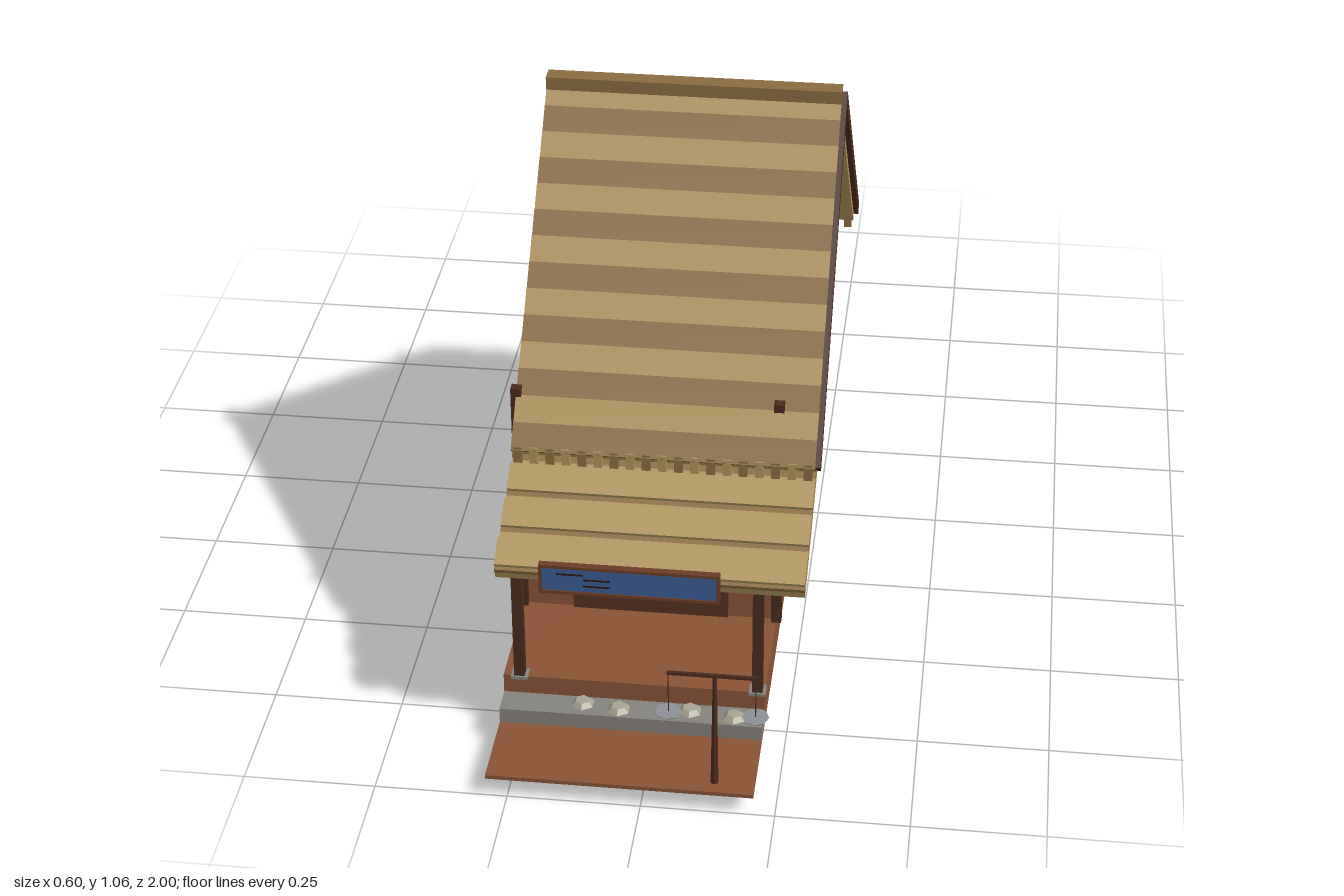
import * as THREE from 'three';

const mat = (color, extra = {}) => new THREE.MeshStandardMaterial({ color, flatShading: true, ...extra });
const M = {
  wall: mat(0x8a5235), dark: mat(0x4a2a1c), door: mat(0x57301f), frame: mat(0x6b3b25),
  strawLight: mat(0xb0925a), strawDark: mat(0x8a6b3e), glass: mat(0x303030), line: mat(0x24160f),
  blue: mat(0x3a5c96), stone: mat(0x85827c), pale: mat(0xa8a392), metal: mat(0x8c9094),
  leaf: mat(0x3c6b34),
};

function add(parent, name, geometry, material, x = 0, y = 0, z = 0) {
  const mesh = new THREE.Mesh(geometry, material);
  mesh.name = name;
  mesh.position.set(x, y, z);
  parent.add(mesh);
  return mesh;
}

// Box given by its low and high corner
function span(parent, name, material, [x0, y0, z0], [x1, y1, z1]) {
  return add(parent, name, new THREE.BoxGeometry(x1 - x0, y1 - y0, z1 - z0), material,
    (x0 + x1) / 2, (y0 + y1) / 2, (z0 + z1) / 2);
}

function group(parent, name, x = 0, y = 0, z = 0) {
  const g = new THREE.Group();
  g.name = name;
  g.position.set(x, y, z);
  parent.add(g);
  return g;
}

const ROOF_W = 0.575, ROOF_X = -0.0025, RIDGE_Z = 0.11;

// Sloping slab with overlapping straw courses; local +z runs down the slope
function thatch(parent, name, length, courses, thick) {
  const slope = group(parent, name);
  span(slope, 'roofSlab', M.strawLight, [-ROOF_W / 2, -thick, 0], [ROOF_W / 2, -0.005, length]);
  const step = length / courses;
  for (let i = 0; i < courses; i++) {
    const course = add(slope, 'strawCourse', new THREE.BoxGeometry(ROOF_W, 0.01, step + 0.002),
      i % 2 ? M.strawDark : M.strawLight, 0, -0.004, (i + 0.5) * step);
    course.rotation.x = i % 2 ? 0.04 : 0.07;
  }
  return slope;
}

// One half of the main roof; side is 1 for the front and -1 for the back
function roofHalf(parent, side) {
  const half = group(parent, side > 0 ? 'frontRoof' : 'backRoof', ROOF_X, 1.045, RIDGE_Z);
  if (side < 0) half.rotation.y = Math.PI;
  const slope = thatch(half, 'mainSlope', 0.735, 14, 0.032);
  slope.rotation.x = Math.PI / 4;
  // Dark rake board on the left gable only
  span(slope, 'rakeBoard', M.dark, side > 0 ? [ROOF_W / 2, -0.017, 0] : [-ROOF_W / 2 - 0.01, -0.017, 0],
    side > 0 ? [ROOF_W / 2 + 0.01, 0.008, 0.735] : [-ROOF_W / 2, 0.008, 0.735]);
  // Straw fringe along the eave
  for (let i = 0; i < 19; i++) {
    const h = 0.05 + 0.008 * ((i * 2) % 3);
    add(half, 'strawTassel', new THREE.BoxGeometry(0.016, h, 0.012), i % 2 ? M.strawLight : M.strawDark,
      -0.275 + i * 0.0305, -0.515 - h / 2, 0.513);
  }
}

function sideWindow(parent, z) {
  const w = group(parent, 'sideWindow', 0.21, 0.29, z);
  span(w, 'windowGlass', M.glass, [-0.005, -0.07, -0.058], [0.005, 0.08, 0.058]);
  for (const s of [-1, 1]) {
    add(w, 'windowJamb', new THREE.BoxGeometry(0.018, 0.155, 0.008), M.dark, 0.004, 0.005, s * 0.06);
    for (const y of [0.005, -0.035])
      add(w, 'wallCrack', new THREE.BoxGeometry(0.006, 0.006, 0.045), M.line, 0, y, s * 0.097);
  }
  add(w, 'windowHead', new THREE.BoxGeometry(0.018, 0.008, 0.128), M.dark, 0.004, 0.081, 0);
  add(w, 'windowSill', new THREE.BoxGeometry(0.026, 0.012, 0.148), M.frame, 0.006, -0.074, 0);
  add(w, 'windowMullion', new THREE.BoxGeometry(0.014, 0.11, 0.006), M.line, 0.003, 0, 0);
}

export function createModel() {
  const model = new THREE.Group();
  model.name = 'cottage';

  // Ground and house body
  span(model, 'ground', M.wall, [-0.29, 0.037, -1], [0.21, 0.045, 1]);
  span(model, 'foundation', M.wall, [-0.29, 0.045, -0.325], [0.21, 0.115, 0.785]);
  span(model, 'houseWalls', M.wall, [-0.29, 0.115, -0.325], [0.21, 0.555, 0.548]);
  const gable = new THREE.Shape([[-0.438, 0], [0.438, 0], [0, 0.445]].map(p => new THREE.Vector2(...p)));
  add(model, 'gable', new THREE.ShapeGeometry(gable), M.wall, 0.21, 0.555, RIDGE_Z).rotation.y = Math.PI / 2;

  // Corner posts
  for (const x of [-0.29, 0.21]) for (const z of [-0.335, 0.55])
    span(model, 'cornerPost', M.dark, [x - 0.01, 0.115, z - 0.01], [x + 0.01, 0.615, z + 0.01]);
  for (const x of [-0.29, 0.21])
    span(model, 'cornerPostFoot', M.dark, [x - 0.01, 0.045, -0.345], [x + 0.01, 0.115, -0.325]);

  // Plank seams on the left side and the back
  for (let i = 0; i < 10; i++) {
    const y = 0.14 + i * 0.043, len = 0.2 + 0.08 * ((i * 3) % 4), z = -0.05 + 0.07 * ((i * 5) % 4);
    if (y < 0.2 || y > 0.38)
      add(model, 'sideSeam', new THREE.BoxGeometry(0.003, 0.003, len), M.line, 0.21, y, z);
    add(model, 'backSeam', new THREE.BoxGeometry(0.16, 0.003, 0.003), M.line, i % 2 ? 0.12 : -0.19, y, -0.325);
  }
  sideWindow(model, 0.313);
  sideWindow(model, -0.04);

  // Front entrance panel and wall cracks
  span(model, 'frontDoor', M.door, [-0.19, 0.115, 0.54], [0.115, 0.43, 0.554]);
  for (const x of [-0.215, 0.15])
    add(model, 'frontCrack', new THREE.BoxGeometry(0.025, 0.004, 0.004), M.line, x, 0.28, 0.549);

  // Back door
  const back = group(model, 'backDoor', -0.035, 0.22, -0.328);
  add(back, 'doorPanel', new THREE.BoxGeometry(0.125, 0.235, 0.008), M.wall);
  for (const x of [-0.063, 0, 0.063])
    add(back, 'doorStile', new THREE.BoxGeometry(x ? 0.01 : 0.005, 0.24, 0.014), x ? M.frame : M.dark, x, 0, 0);
  for (const y of [-0.118, -0.045, 0.05, 0.118])
    add(back, 'doorRail', new THREE.BoxGeometry(0.13, 0.007, 0.013), M.frame, 0, y, 0);

  // Main roof
  roofHalf(model, 1);
  roofHalf(model, -1);
  add(model, 'ridgeCap', new THREE.BoxGeometry(ROOF_W, 0.026, 0.036), M.strawDark, ROOF_X, 1.047, RIDGE_Z);

  // Porch roof with raised bundles, and its posts
  const porch = group(model, 'porchRoof', ROOF_X, 0.525, 0.545);
  const slope = thatch(porch, 'porchSlope', 0.318, 8, 0.028);
  slope.rotation.x = 0.42;
  for (const z of [0.12, 0.2, 0.285])
    add(slope, 'strawBundle', new THREE.BoxGeometry(ROOF_W, 0.014, 0.055), M.strawLight, 0, 0.006, z).rotation.x = 0.12;
  for (const x of [-0.258, 0.196]) {
    span(model, 'porchPost', M.dark, [x - 0.01, 0.115, 0.773], [x + 0.01, 0.405, 0.793]);
    span(model, 'postFoot', M.stone, [x - 0.016, 0.115, 0.767], [x + 0.016, 0.121, 0.797]);
  }

  // Hanging board on the porch edge
  const board = group(model, 'porchBoard', -0.0375, 0.39, 0.842);
  add(board, 'boardPanel', new THREE.BoxGeometry(0.325, 0.052, 0.008), M.blue);
  for (const s of [-1, 1]) {
    add(board, 'boardRail', new THREE.BoxGeometry(0.335, 0.006, 0.014), M.frame, 0, s * 0.028, 0);
    add(board, 'boardEnd', new THREE.BoxGeometry(0.006, 0.062, 0.014), M.frame, s * 0.1645, 0, 0);
  }
  for (const [x, y] of [[-0.11, 0.012], [-0.06, 0.002], [-0.06, -0.012]])
    add(board, 'boardScratch', new THREE.BoxGeometry(0.05, 0.003, 0.003), M.line, x, y, 0.004);

  // Stone step with loose flat stones
  span(model, 'stoneStep', M.stone, [-0.29, 0.045, 0.785], [0.21, 0.076, 0.84]);
  [-0.135, -0.065, 0.07, 0.155].forEach((x, i) => {
    add(model, 'stepStone', new THREE.CylinderGeometry(0.014, 0.024, 0.01, 6), M.pale, x, 0.08, 0.805 + 0.01 * (i % 2));
  });

  // Balance on a stand
  const scale = group(model, 'balance', 0.13, 0, 0.97);
  add(scale, 'balancePole', new THREE.CylinderGeometry(0.004, 0.008, 0.245, 6), M.dark, 0.005, 0.167, 0);
  add(scale, 'balanceBeam', new THREE.BoxGeometry(0.165, 0.006, 0.006), M.dark, 0, 0.289, 0);
  for (const s of [-1, 1]) {
    add(scale, 'balancePan', new THREE.CylinderGeometry(0.025, 0.02, 0.005, 8), M.metal, s * 0.08, 0.2, 0);
    add(scale, 'panCord', new THREE.CylinderGeometry(0.001, 0.001, 0.09, 4), M.dark, s * 0.08, 0.245, 0);
  }

  // Faceted boulder and potted plant behind the house
  add(model, 'boulder', new THREE.IcosahedronGeometry(0.048), M.wall, 0.07, 0.086, -0.515);
  const pot = group(model, 'pottedPlant', -0.115, 0.042, -0.742);
  add(pot, 'pot', new THREE.CylinderGeometry(0.025, 0.018, 0.036, 8), M.wall, 0, 0.018, 0);
  add(pot, 'potRim', new THREE.CylinderGeometry(0.03, 0.03, 0.01, 8), M.frame, 0, 0.04, 0);
  for (let i = 0; i < 9; i++) {
    const leaf = group(pot, 'leaf', 0, 0.004, 0);
    leaf.rotation.set(0, i * 2.4, 0);
    const blade = add(leaf, 'leafBlade', new THREE.ConeGeometry(0.005, 0.05, 4).translate(0, 0.025, 0), M.leaf);
    blade.rotation.z = Math.PI - (0.35 + 0.25 * (i % 3));
  }
  return model;
}
